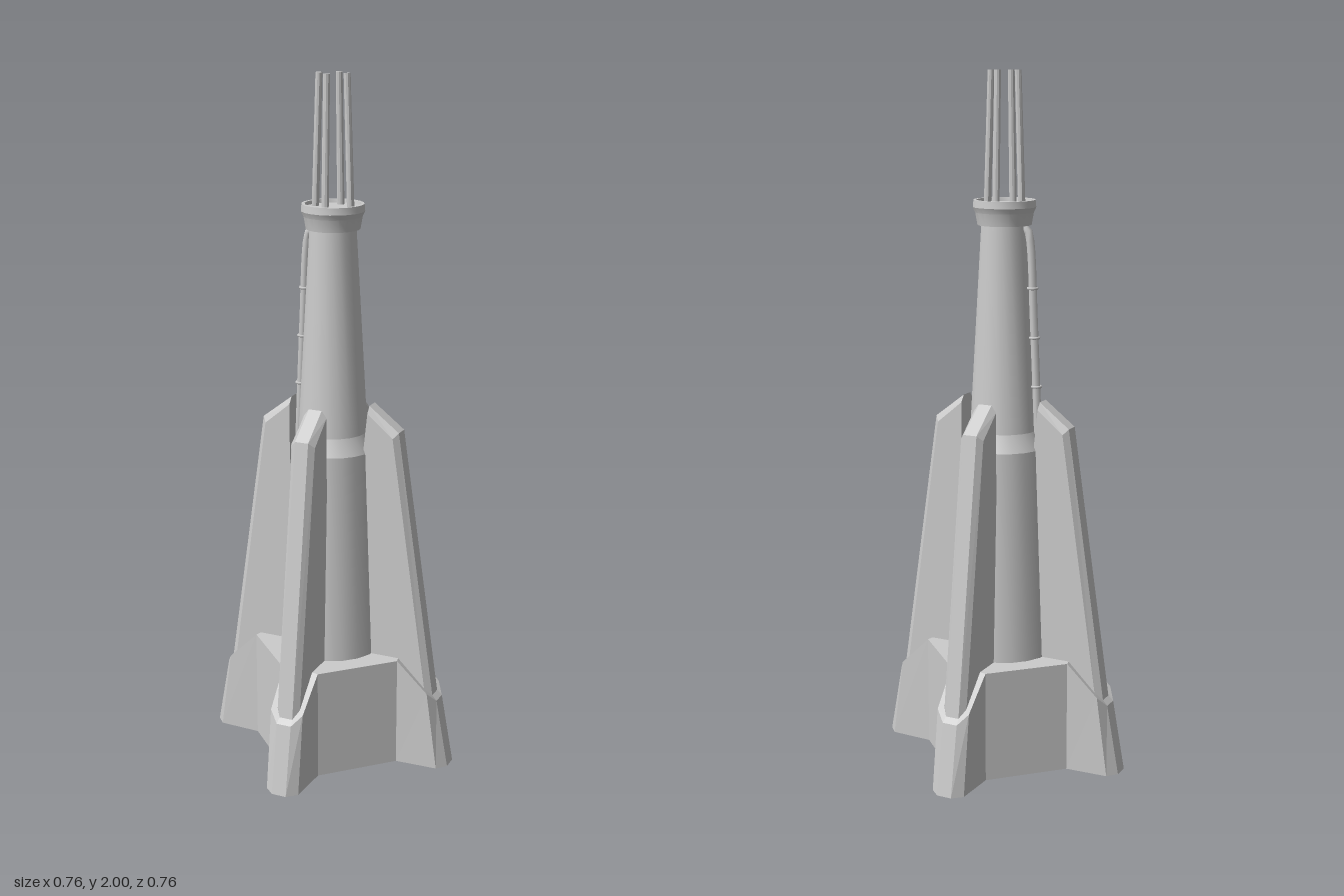
import * as THREE from 'three';
import { toCreasedNormals } from 'three/addons/utils/BufferGeometryUtils.js';

const smooth = new THREE.MeshStandardMaterial({ color: 0xcccccc, side: THREE.DoubleSide });
const flat = new THREE.MeshStandardMaterial({ color: 0xcccccc, flatShading: true });

function addMesh(parent, name, geometry, material) {
  const mesh = new THREE.Mesh(geometry, material);
  mesh.name = name;
  parent.add(mesh);
  return mesh;
}

// Joins closed rings of [x, y, z] points with flat faces
function loft(rings) {
  const pos = [];
  for (let i = 0; i < rings.length - 1; i++) {
    const n = rings[i].length;
    for (let j = 0; j < n; j++) {
      const k = (j + 1) % n;
      const a = rings[i][j], b = rings[i][k], c = rings[i + 1][k], d = rings[i + 1][j];
      pos.push(...a, ...d, ...b, ...b, ...d, ...c);
    }
  }
  const g = new THREE.BufferGeometry();
  g.setAttribute('position', new THREE.Float32BufferAttribute(pos, 3));
  g.computeVertexNormals();
  return g;
}

// Repeats half an arm outline, [radius, half width, y], into a four-armed ring
function crossRing(half) {
  const arm = [
    ...half.map(([r, w, y]) => [r, y, -w]),
    ...[...half].reverse().map(([r, w, y]) => [r, y, w]),
  ];
  const ring = [];
  for (let q = 0; q < 4; q++) {
    const c = Math.round(Math.cos(q * Math.PI / 2)), s = Math.round(Math.sin(q * Math.PI / 2));
    for (const [x, y, z] of arm) ring.push([x * c - z * s, y, x * s + z * c]);
  }
  return ring;
}

// Hollow base with four sloping feet
function baseGeometry() {
  const point = (y) => Array.from({ length: 24 }, () => [0, y, 0]);
  return loft([
    point(0.28),
    crossRing([[0.205, 0.036, 0.28], [0.3, 0.032, 0.17], [0.315, 0.014, 0.16]]),
    crossRing([[0.205, 0.036, 0], [0.335, 0.032, 0], [0.355, 0.014, 0]]),
    crossRing([[0.23, 0.055, 0], [0.355, 0.05, 0], [0.38, 0.022, 0]]),
    crossRing([[0.23, 0.055, 0.325], [0.322, 0.05, 0.235], [0.343, 0.022, 0.205]]),
    crossRing([[0.225, 0.035, 0.325], [0.312, 0.034, 0.24], [0.328, 0.02, 0.22]]),
    point(0.325),
  ]);
}

// Buttress fin with a chamfered outer edge
function finGeometry() {
  const section = (inner, chamfer, outer) => [
    [...inner, -0.035], [...chamfer, -0.035], [...outer, -0.02],
    [...outer, 0.02], [...chamfer, 0.035], [...inner, 0.035],
  ];
  const end = (x, y) => Array.from({ length: 6 }, () => [x, y, 0]);
  return loft([
    end(0.2, 0.21),
    section([0.1, 0.21], [0.313, 0.21], [0.33, 0.21]),
    section([0.1, 0.85], [0.2, 0.995], [0.213, 1.01]),
    section([0.122, 0.88], [0.122, 1.06], [0.122, 1.08]),
    end(0.122, 1.0),
  ]);
}

function lathe(points) {
  const g = new THREE.LatheGeometry(points.map(([r, y]) => new THREE.Vector2(r, y)), 20);
  return toCreasedNormals(g, 0.33);
}

export function createModel() {
  const model = new THREE.Group();
  model.name = 'tower';

  addMesh(model, 'base', baseGeometry(), flat);

  // Tapering shaft, open at the foot
  addMesh(model, 'shaft', lathe([
    [0.155, 0], [0.145, 0.325], [0.122, 0.94], [0.1, 0.99], [0.066, 1.58],
  ]), smooth);

  // Flared collar with a shallow dished top
  addMesh(model, 'collar', lathe([
    [0, 1.575], [0.077, 1.575], [0.083, 1.61], [0.09, 1.625], [0.088, 1.645], [0.079, 1.645], [0.077, 1.635], [0, 1.635],
  ]), smooth);

  // Four fins and four leaning mast rods
  const fin = finGeometry();
  const rodPath = new THREE.LineCurve3(new THREE.Vector3(0.054, 1.62, 0), new THREE.Vector3(0.042, 1.995, 0));
  const rodLength = rodPath.getLength();
  for (let i = 0; i < 4; i++) {
    const quarter = new THREE.Group();
    quarter.name = 'quarter' + (i + 1);
    quarter.rotation.y = i * Math.PI / 2;
    addMesh(quarter, 'fin', fin, flat);
    const rod = addMesh(quarter, 'mastRod',
      toCreasedNormals(new THREE.CylinderGeometry(0.0095, 0.0105, rodLength + 0.01, 10), 0.7), smooth);
    rod.position.copy(rodPath.getPoint(0.5));
    rod.rotation.z = Math.atan2(0.012, 0.375);
    model.add(quarter);
  }

  // Conduit up the right side, bending into the shaft under the collar
  const conduit = new THREE.CatmullRomCurve3([
    [-0.108, 0.96], [-0.102, 1.1], [-0.092, 1.32], [-0.082, 1.52], [-0.074, 1.56], [-0.055, 1.575],
  ].map(([x, y]) => new THREE.Vector3(x, y, 0)));
  addMesh(model, 'conduit', new THREE.TubeGeometry(conduit, 24, 0.012, 8), smooth);

  // Clamps around the conduit
  for (const y of [1.12, 1.26, 1.4]) {
    const clamp = addMesh(model, 'conduitClamp', new THREE.TorusGeometry(0.013, 0.004, 6, 12), smooth);
    clamp.position.set(-0.102 + (y - 1.1) * 0.0465, y, 0);
    clamp.rotation.x = Math.PI / 2;
  }
  return model;
}
